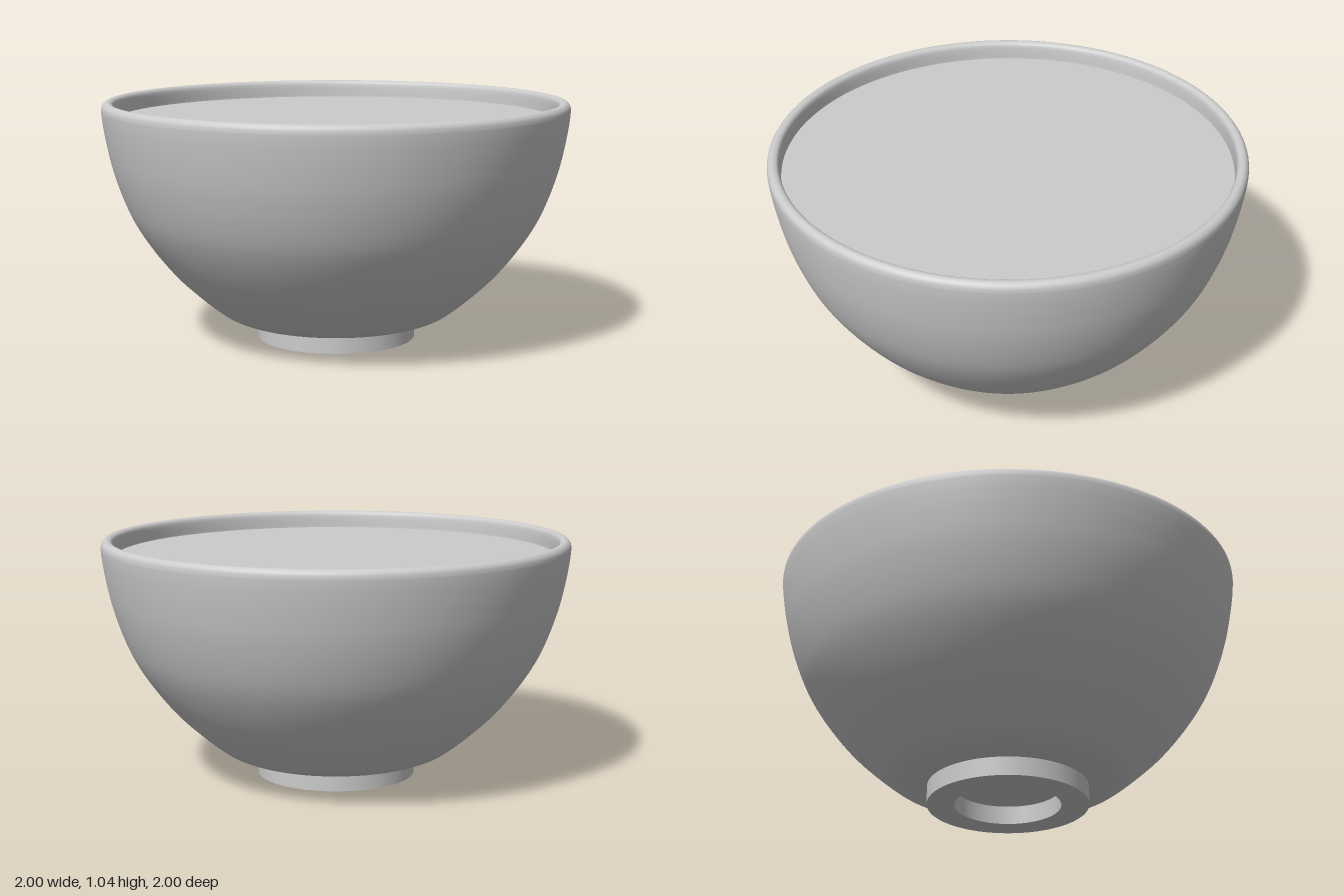
import * as THREE from 'three';
import { toCreasedNormals } from 'three/addons/utils/BufferGeometryUtils.js';

const SEGMENTS = 128;
const material = new THREE.MeshStandardMaterial({ color: 0xcccccc });
const points = (pairs) => pairs.map(([r, y]) => new THREE.Vector2(r, y));

function addMesh(group, name, geometry) {
  const mesh = new THREE.Mesh(geometry, material);
  mesh.name = name;
  group.add(mesh);
  return mesh;
}

export function createModel() {
  const group = new THREE.Group();
  group.name = 'bowl';

  // Bowl wall: smooth outer curve, rounded rim, then the inner curve down to the floor
  const outer = new THREE.SplineCurve(points([
    [0.34, 0.08], [0.41, 0.085], [0.47, 0.105], [0.52, 0.135], [0.605, 0.205],
    [0.70, 0.295], [0.79, 0.405], [0.865, 0.52], [0.915, 0.63], [0.955, 0.75],
    [0.98, 0.86], [0.995, 0.95], [1.0, 1.0],
  ])).getPoints(60);
  const rim = new THREE.SplineCurve(points([
    [1.0, 1.0], [0.997, 1.02], [0.985, 1.034], [0.97, 1.037], [0.955, 1.03], [0.948, 1.01], [0.945, 0.96],
  ])).getPoints(24).slice(1);
  const inner = new THREE.SplineCurve(points([
    [0.945, 0.96], [0.92, 0.8], [0.86, 0.63], [0.74, 0.42], [0.56, 0.23], [0.4, 0.15], [0, 0.14],
  ])).getPoints(24).slice(1);
  inner[inner.length - 1].x = 0;
  const wall = new THREE.LatheGeometry([new THREE.Vector2(0, 0.08), ...outer, ...rim, ...inner], SEGMENTS);
  addMesh(group, 'bowlWall', wall);

  // Foot ring with sharp edges and an open, recessed centre
  const foot = new THREE.LatheGeometry(points([[0.225, 0.085], [0.225, 0], [0.343, 0], [0.343, 0.085]]), SEGMENTS);
  addMesh(group, 'footRing', toCreasedNormals(foot, Math.PI / 6));

  // Flat surface of the contents just below the rim
  const contents = addMesh(group, 'contents', new THREE.CircleGeometry(0.947, SEGMENTS));
  contents.rotation.x = -Math.PI / 2;
  contents.position.y = 0.96;

  return group;
}
